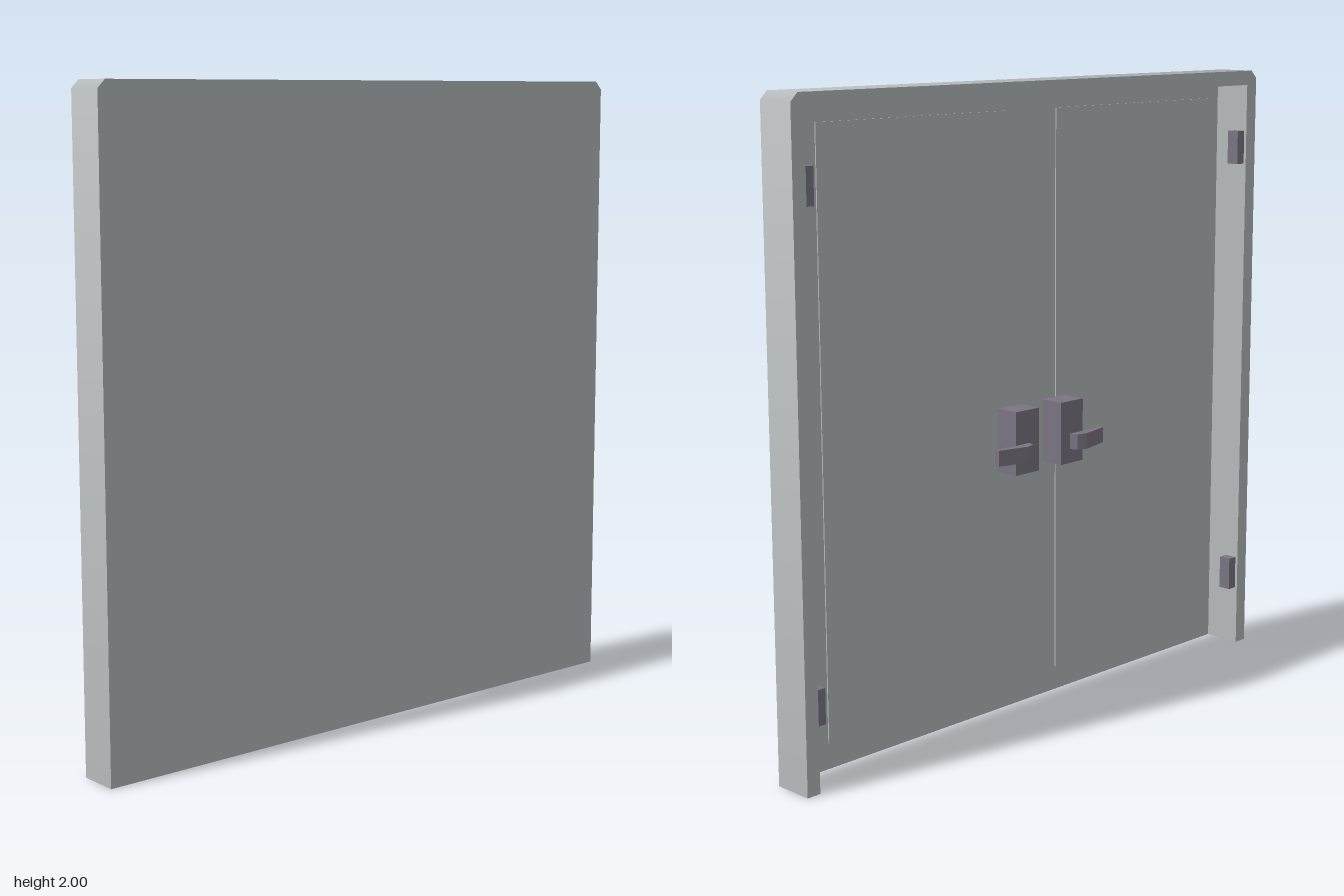
import * as THREE from 'three';

const BACK = 0.08, FRONT = -0.05;   // x of the backing sheet and of the frame's open side
const CUT = 0.025, WALL = 0.047;    // corner chamfer and frame thickness

export function createModel() {
  const steel = new THREE.MeshStandardMaterial({ color: 0xb6babb });
  steel.name = 'pale grey steel';
  const hardware = new THREE.MeshStandardMaterial({ color: 0x7a7582 });
  hardware.name = 'dark violet grey hardware';

  const model = new THREE.Group();
  model.name = 'doubleDoor';

  function add(name, geometry, material, x = 0, y = 0, z = 0) {
    const mesh = new THREE.Mesh(geometry, material);
    mesh.name = name;
    mesh.position.set(x, y, z);
    model.add(mesh);
    return mesh;
  }

  // Shape drawn as (z, y) pairs, extruded along x from x0 to x1
  function slab(points, x0, x1) {
    const shape = new THREE.Shape(points.map(([z, y]) => new THREE.Vector2(z, y)));
    const geometry = new THREE.ExtrudeGeometry(shape, { depth: x1 - x0, bevelEnabled: false });
    // Soften the normals around the chamfered top corners
    const pos = geometry.attributes.position, nor = geometry.attributes.normal;
    const s = Math.sin(Math.PI / 8), c = Math.cos(Math.PI / 8);
    for (let i = 0; i < pos.count; i++) {
      const u = pos.getX(i), y = pos.getY(i), side = Math.sign(u);
      if (Math.abs(nor.getZ(i)) > 0.5 || Math.abs(u) < 0.96 || y < 1.96) continue;
      if (y > 1.99) nor.setXYZ(i, side * s, c, 0);
      else nor.setXYZ(i, side * c, s, 0);
    }
    return geometry.rotateY(-Math.PI / 2).translate(x1, 0, 0);
  }

  const outline = [[1, 0], [1, 2 - CUT], [1 - CUT, 2], [CUT - 1, 2], [-1, 2 - CUT], [-1, 0]];
  const inner = 1 - WALL, head = 2 - WALL;

  // Doorway surround, open at the floor
  add('frame', slab([...outline, [-inner, 0], [-inner, head], [inner, head], [inner, 0]],
    FRONT, BACK - 0.004), steel);
  // Thin sheet closing the far side
  add('backSheet', slab(outline, BACK - 0.004, BACK), steel);

  // Lever seen from above as (z, x) pairs, bending away from the middle
  const leverPoints = [[0.09, -0.045], [0.1, -0.075], [0.13, -0.085],
    [0.235, -0.06], [0.235, -0.043], [0.15, -0.05]];

  for (const side of [-1, 1]) {
    const label = side > 0 ? 'front' : 'rear';

    // Thin door panel
    add(label + 'DoorPanel', new THREE.BoxGeometry(0.004, 1.81, 0.74), steel,
      0.032, 1.005, side * 0.48);

    // Lock case
    add(label + 'LockCase', new THREE.BoxGeometry(0.08, 0.2, 0.1), hardware,
      -0.01, 0.9, side * 0.1);

    // Lever handle
    const lever = new THREE.Shape(leverPoints.map(([z, x]) => new THREE.Vector2(x, -side * z)));
    const leverGeometry = new THREE.ExtrudeGeometry(lever, { depth: 0.05, bevelEnabled: false });
    add(label + 'Lever', leverGeometry.rotateX(-Math.PI / 2), hardware, 0, 0.845, 0);

    // Hinges on the inner face of the frame
    for (const [place, y] of [['Lower', 0.255], ['Upper', 1.745]]) {
      add(label + place + 'Hinge', new THREE.BoxGeometry(0.042, 0.11, 0.034), hardware,
        -0.02, y, side * (inner - 0.017));
    }
  }

  return model;
}
